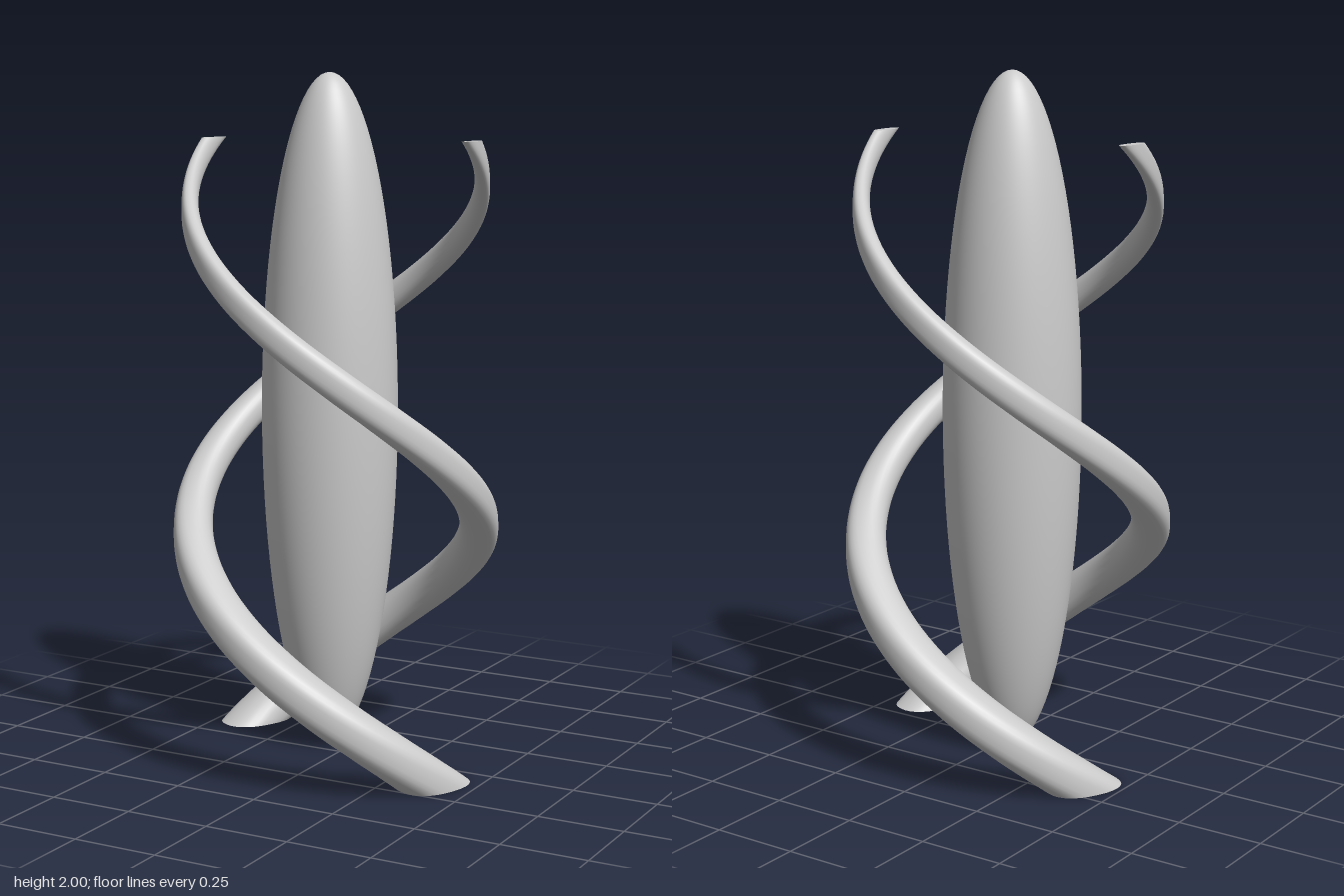
import * as THREE from 'three';

const SECTIONS = 120, SIDES = 28;
const TOP = 1.81, RADIUS = 0.418, CENTRE_X = -0.012;
const lerp = THREE.MathUtils.lerp;

// Point on the rounded, horizontal cross-section of a strand at height fraction t
function strandPoint(t, u, startDeg, endDeg) {
  const theta = THREE.MathUtils.degToRad(lerp(startDeg, endDeg, t));
  const round = (v) => Math.sign(v) * Math.pow(Math.abs(v), 0.85);
  const radial = RADIUS + lerp(0.081, 0.018, t) * round(Math.cos(u));
  const along = lerp(0.115, 0.056, t) * round(Math.sin(u));
  const c = Math.cos(theta), s = Math.sin(theta);
  return [CENTRE_X + radial * c - along * s, t * TOP, radial * s + along * c];
}

// Tapering helical strand, lofted through horizontal sections and cut flat at both ends
function strandGeometry(startDeg, endDeg) {
  const positions = [], index = [];
  const addRing = (t) => {
    const first = positions.length / 3;
    for (let j = 0; j < SIDES; j++) {
      positions.push(...strandPoint(t, (j / SIDES) * Math.PI * 2, startDeg, endDeg));
    }
    return first;
  };

  for (let i = 0; i <= SECTIONS; i++) addRing(i / SECTIONS);
  for (let i = 0; i < SECTIONS; i++) {
    for (let j = 0; j < SIDES; j++) {
      const k = (j + 1) % SIDES;
      const a = i * SIDES + j, b = i * SIDES + k;
      index.push(a, a + SIDES, b, b, a + SIDES, b + SIDES);
    }
  }

  // Flat end caps with their own vertices, so the rims stay sharp
  for (const t of [0, 1]) {
    const first = addRing(t);
    for (let j = 1; j < SIDES - 1; j++) {
      if (t === 0) index.push(first, first + j, first + j + 1);
      else index.push(first, first + j + 1, first + j);
    }
  }

  const geometry = new THREE.BufferGeometry();
  geometry.setAttribute('position', new THREE.Float32BufferAttribute(positions, 3));
  geometry.setIndex(index);
  geometry.computeVertexNormals();
  return geometry;
}

export function createModel() {
  const group = new THREE.Group();
  group.name = 'helixSculpture';
  const material = new THREE.MeshStandardMaterial({ color: 0xcccccc });

  // Slender upright spindle, slightly off the axis of the strands
  const spindle = new THREE.Mesh(new THREE.SphereGeometry(1, 64, 48), material);
  spindle.name = 'spindle';
  spindle.scale.set(0.2, 0.99, 0.2);
  spindle.position.set(-0.06, 1.01, -0.05);
  group.add(spindle);

  // Two strands winding round it from opposite feet
  for (const [name, start, end] of [['leftStrand', 20, 357], ['rightStrand', 205, 542]]) {
    const strand = new THREE.Mesh(strandGeometry(start, end), material);
    strand.name = name;
    group.add(strand);
  }
  return group;
}
